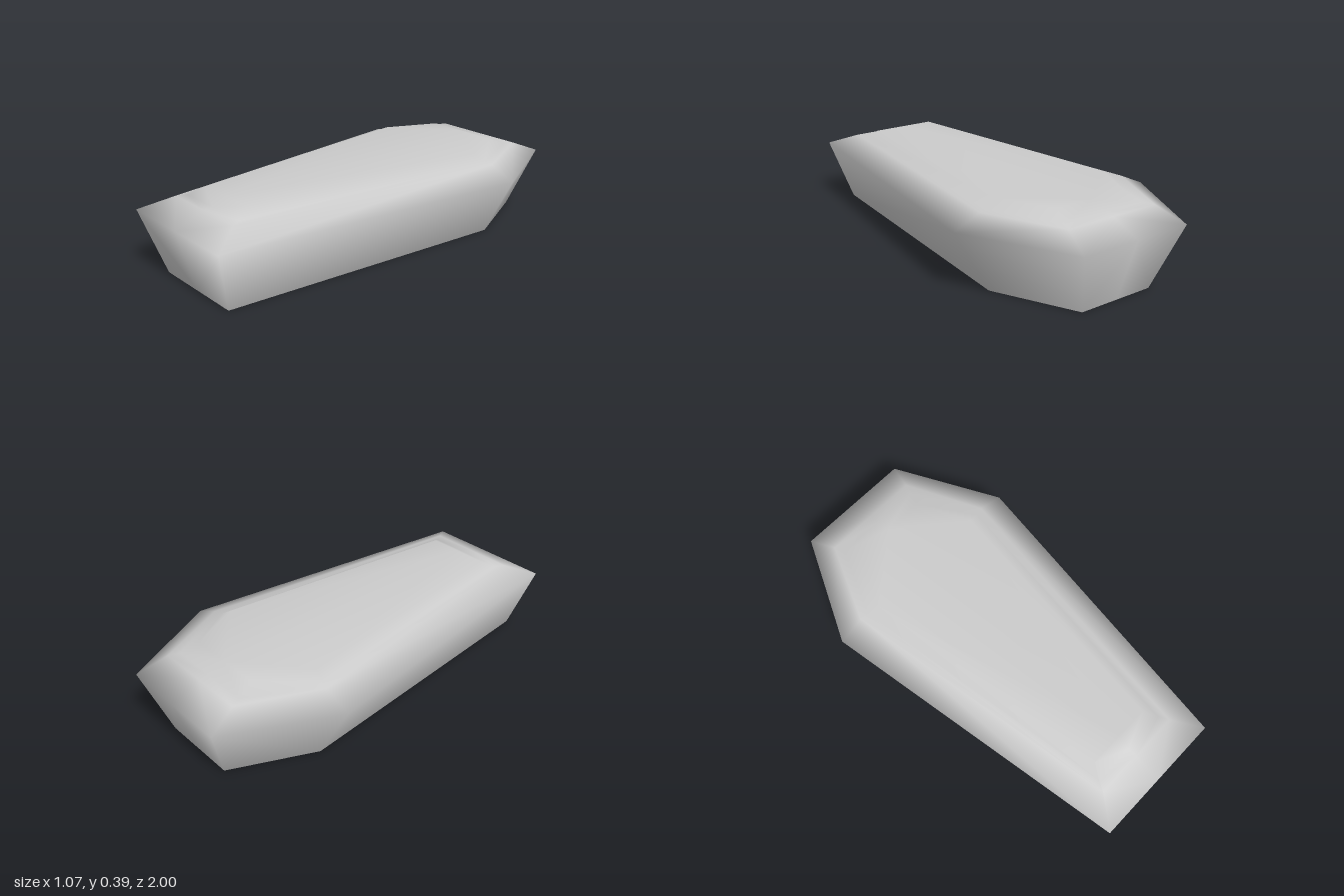
import * as THREE from 'three';

// Each level: height, then the front, shoulder and back corners of the +x half as [x, z]
const LEVELS = [
  { y: 0.0, half: [[0.24, 0.915], [0.37, -0.515], [0.19, -0.9]] },     // open base
  { y: 0.298, half: [[0.328, 1.0], [0.535, -0.5], [0.285, -1.0]] },    // widest rim
  { y: 0.356, half: [[0.225, 0.86], [0.405, -0.5], [0.24, -0.86]] },   // bevel up to the lid
  { y: 0.357, half: [[0.2, 0.815], [0.365, -0.49], [0.22, -0.81]] },   // narrow ledge
  { y: 0.392, half: [[0.16, 0.75], [0.31, -0.475], [0.19, -0.73]] },   // raised lid panel
];

// Full ring: front middle, +x side, back middle, -x side
function ring({ y, half }) {
  const [front, shoulder, back] = half;
  const right = [front, shoulder, back];
  const left = [back, shoulder, front].map(([x, z]) => [-x, z]);
  return [[0, front[1]], ...right, [0, back[1]], ...left].map(([x, z]) => [x, y, z]);
}

function shellGeometry() {
  const n = 8;
  const positions = LEVELS.flatMap(ring).flat();
  const index = [];
  // Walls, with the diagonals mirrored about the centre line
  for (let l = 0; l < LEVELS.length - 1; l++) {
    for (let i = 0; i < n; i++) {
      const a = l * n + i, b = l * n + (i + 1) % n;
      const c = b + n, d = a + n;
      if (i < n / 2) index.push(a, b, c, a, c, d);
      else index.push(a, b, d, b, c, d);
    }
  }
  // Flat lid top, split along the centre line
  const t = (LEVELS.length - 1) * n;
  for (const [a, b, c] of [[0, 1, 2], [0, 2, 4], [2, 3, 4], [0, 4, 6], [4, 5, 6], [0, 6, 7]]) {
    index.push(t + a, t + b, t + c);
  }
  const geometry = new THREE.BufferGeometry();
  geometry.setAttribute('position', new THREE.Float32BufferAttribute(positions, 3));
  geometry.setIndex(index);
  geometry.computeVertexNormals();
  return geometry;
}

export function createModel() {
  const group = new THREE.Group();
  group.name = 'coffin';
  const grey = new THREE.MeshStandardMaterial({ color: 0xcccccc, side: THREE.DoubleSide });
  grey.name = 'plain grey';
  const shell = new THREE.Mesh(shellGeometry(), grey);
  shell.name = 'coffinShell';
  group.add(shell);
  return group;
}
